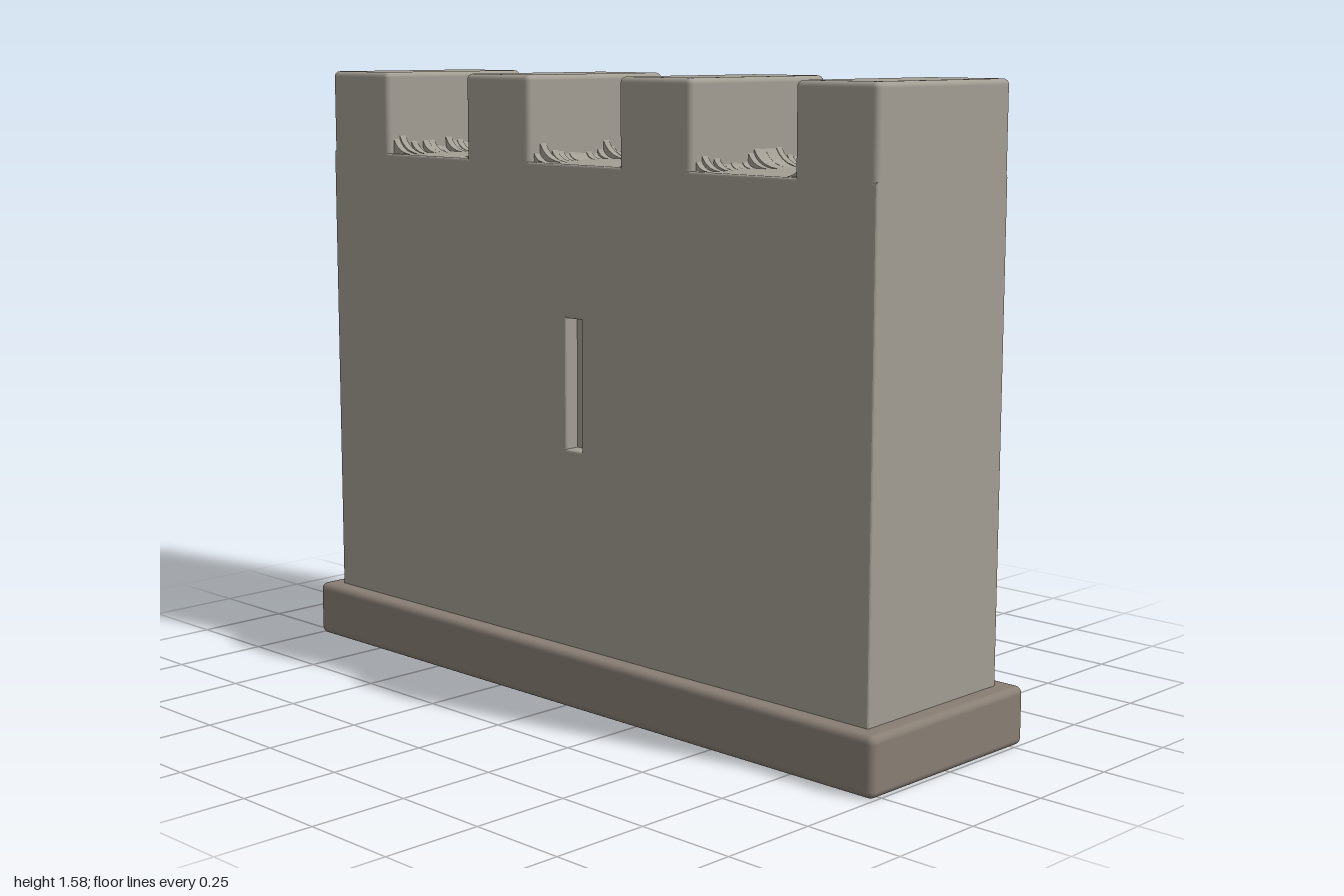
import * as THREE from 'three';
import { RoundedBoxGeometry } from 'three/addons/geometries/RoundedBoxGeometry.js';

const HALF_W = 0.95, HALF_D = 0.24, WALL_TOP = 1.36, MERLON_TOP = 1.575;

export function createModel() {
  const group = new THREE.Group();
  const stone = new THREE.MeshStandardMaterial({ color: 0xa39e93 });
  stone.name = 'wall stone';
  const footing = new THREE.MeshStandardMaterial({ color: 0x887e74 });
  footing.name = 'base stone';

  const add = (name, geometry, material, x = 0, y = 0, z = 0, parent = group) => {
    const mesh = new THREE.Mesh(geometry, material);
    mesh.name = name;
    mesh.position.set(x, y, z);
    parent.add(mesh);
    return mesh;
  };
  // Rounded block given by its extents
  const block = (name, material, [x0, x1], [y0, y1], [z0, z1], r) =>
    add(name, new RoundedBoxGeometry(x1 - x0, y1 - y0, z1 - z0, 3, r), material,
      (x0 + x1) / 2, (y0 + y1) / 2, (z0 + z1) / 2);
  const rectangle = (path, x0, y0, x1, y1) =>
    path.moveTo(x0, y0).lineTo(x1, y0).lineTo(x1, y1).lineTo(x0, y1).closePath();

  // Footing and wall core
  block('base', footing, [-1, 1], [0, 0.145], [-0.285, 0.285], 0.018);
  block('wallCore', stone, [-HALF_W, HALF_W], [0.08, WALL_TOP], [-HALF_D, 0.2], 0.01);

  // Front facing with the arrow slit cut out of it
  const b = 0.006;
  const facing = rectangle(new THREE.Shape(), -HALF_W + b, 0.1, HALF_W - b, WALL_TOP - b);
  facing.holes.push(rectangle(new THREE.Path(), -0.028 - b, 0.65 - b, 0.028 + b, 0.98 + b));
  add('wallFacingWithArrowSlit', new THREE.ExtrudeGeometry(facing, {
    depth: 0.1 - 2 * b, bevelThickness: b, bevelSize: b, bevelSegments: 3,
  }), stone, 0, 0, HALF_D - 0.1 + b);

  // Merlons along the top
  const merlons = [[-HALF_W, -0.715], [-0.397, -0.16], [0.16, 0.397], [0.715, HALF_W]];
  merlons.forEach((span) =>
    block('merlon', stone, span, [1.28, MERLON_TOP], [-HALF_D, HALF_D], 0.014));

  // Ragged mortar fillets in the corners of the gaps
  let seed = 7;
  const random = () => (seed = (seed * 16807) % 2147483647) / 2147483647;
  const slices = 22, depth = 0.44 / slices;
  const fillet = (x, dir) => {
    const parts = new THREE.Group();
    parts.name = 'mortarFillet';
    for (let i = 0; i < slices; i++) {
      const k = random() ** 2;
      const w = 0.02 + 0.07 * k, h = 0.012 + 0.04 * k;
      const shape = new THREE.Shape();
      shape.moveTo(-0.01 * dir, -0.01).lineTo(w * dir, -0.01).lineTo(w * dir, 0)
        .quadraticCurveTo(w * 0.25 * dir, h * 0.1, 0, h)
        .lineTo(-0.01 * dir, h).closePath();
      add('mortarRidge', new THREE.ExtrudeGeometry(shape, { depth, bevelEnabled: false, curveSegments: 5 }),
        stone, x, WALL_TOP, -0.22 + i * depth, parts);
    }
    group.add(parts);
  };
  for (let i = 0; i < merlons.length - 1; i++) {
    fillet(merlons[i][1], 1);
    fillet(merlons[i + 1][0], -1);
  }
  return group;
}
